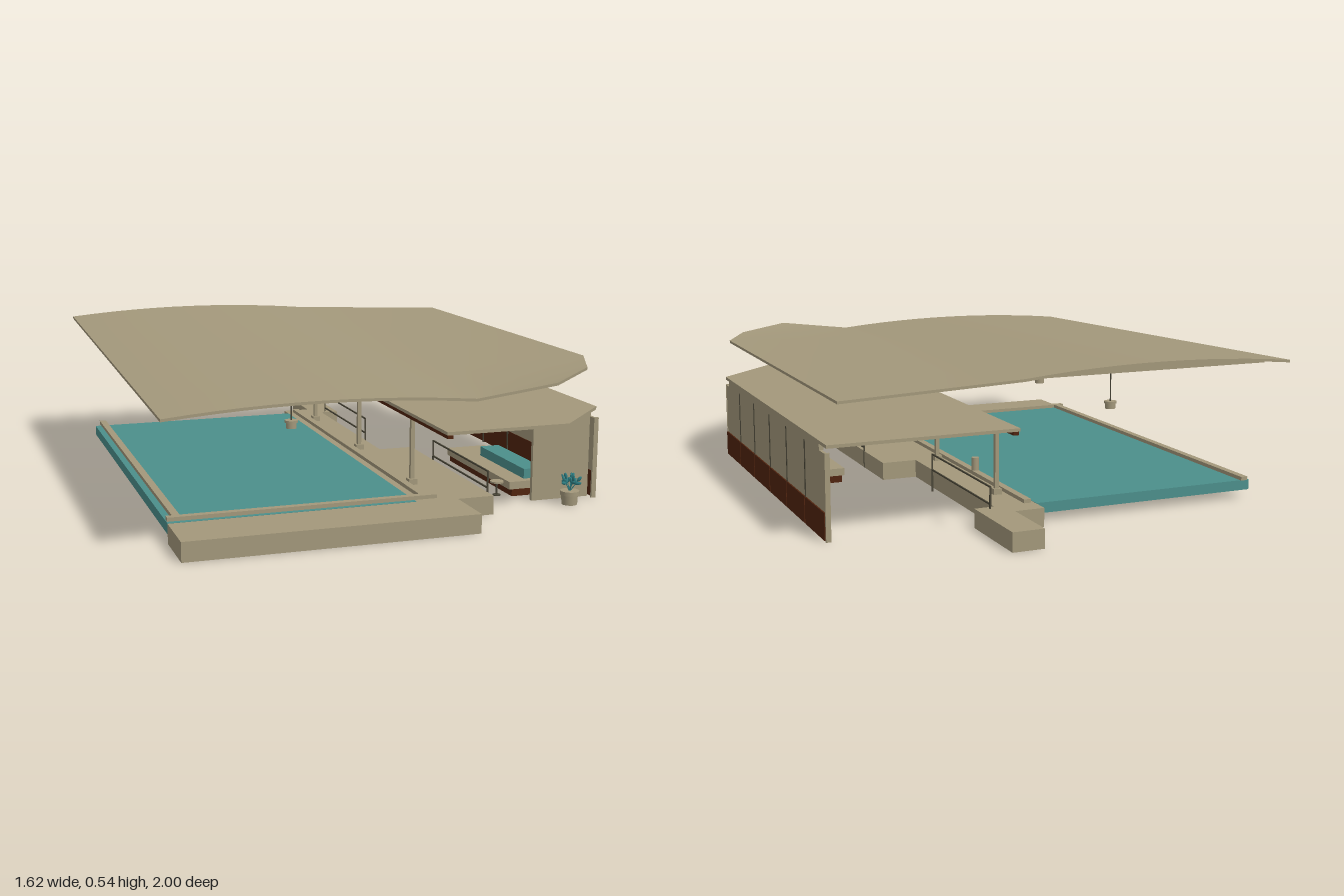
import * as THREE from 'three';

const mat = (name, color, side = THREE.FrontSide) => {
  const m = new THREE.MeshStandardMaterial({ color, side });
  m.name = name;
  return m;
};

export function createModel() {
  const tan = mat('sandstone', 0xa3987b);
  const red = mat('red brown timber', 0x50240f);
  const water = mat('pool water', 0x4c8f8b);
  const leaf = mat('leaf', 0x2f8085, THREE.DoubleSide);
  const dark = mat('dark metal', 0x4a4638);

  const model = new THREE.Group();
  model.name = 'poolPavilion';

  const add = (name, geo, m, x = 0, y = 0, z = 0, parent = model) => {
    const mesh = new THREE.Mesh(geo, m);
    mesh.name = name;
    mesh.position.set(x, y, z);
    parent.add(mesh);
    return mesh;
  };
  // box given by its limits on each axis
  const box = (name, m, x0, x1, y0, y1, z0, z1) =>
    add(name, new THREE.BoxGeometry(x1 - x0, y1 - y0, z1 - z0), m,
      (x0 + x1) / 2, (y0 + y1) / 2, (z0 + z1) / 2);
  const cyl = (r0, r1, h, n = 12) => new THREE.CylinderGeometry(r0, r1, h, n);

  // --- main roof: arched over the pool, ruled out to a level outer edge
  const TH = 0.009;
  const archEdge = z => 0.449 + 0.061 * (1 - z) / 1.85;
  const arch = x => 0.025 * (1 - ((x + 0.31) / 0.5) ** 2);
  const outerX = z => {
    if (z <= 0.55) return 0.805;
    if (z <= 0.77) return 0.805 - 0.105 * (z - 0.55) / 0.22;
    return 0.7 - (z - 0.77);
  };
  const rows = [-0.85, -0.4, 0.05, 0.55, 0.77, 1];
  const NA = 12, NB = 4;
  const roofGeo = new THREE.BoxGeometry(1, 1, 1, NA + NB, 1, rows.length - 1);
  const p = roofGeo.attributes.position;
  for (let i = 0; i < p.count; i++) {
    const col = Math.round((p.getX(i) + 0.5) * (NA + NB));
    const z = rows[Math.round((p.getZ(i) + 0.5) * (rows.length - 1))];
    let x, y;
    if (col <= NA) {
      x = -0.81 + col / NA;
      y = archEdge(z) + arch(x);
    } else {
      const s = (col - NA) / NB;
      x = 0.19 + (outerX(z) - 0.19) * s;
      y = THREE.MathUtils.lerp(archEdge(z), 0.484, s);
    }
    p.setXYZ(i, x, y - (p.getY(i) < 0 ? TH : 0), z);
  }
  roofGeo.computeVertexNormals();
  add('mainRoof', roofGeo, tan);

  // bow shaped ribs under the arch
  for (const z of [0.79, 0.29, -0.21, -0.71]) {
    const e = archEdge(z) - TH;
    const rib = new THREE.Shape();
    rib.moveTo(-0.8, e - 0.014);
    rib.lineTo(0.185, e - 0.014);
    for (let i = 10; i >= 0; i--) {
      const x = -0.8 + 0.0985 * i;
      rib.lineTo(x, e + arch(x) + 0.002);
    }
    add('roofRib', new THREE.ExtrudeGeometry(rib, { depth: 0.012, bevelEnabled: false }), tan, 0, 0, z - 0.006);
  }

  // --- pendant lamps
  for (const z of [0.65, 0.08, -0.495]) {
    const lamp = new THREE.Group();
    lamp.name = 'pendantLamp';
    lamp.position.set(-0.31, 0, z);
    model.add(lamp);
    const top = archEdge(z) + arch(-0.31) - TH;
    add('lampCord', cyl(0.002, 0.002, top - 0.34, 6), dark, 0, (top + 0.34) / 2, 0, lamp);
    add('lampCap', cyl(0.022, 0.022, 0.008), tan, 0, 0.339, 0, lamp);
    add('lampShade', cyl(0.018, 0.018, 0.02), tan, 0, 0.326, 0, lamp);
  }

  // --- lower flat roof with a cut corner
  const flat = new THREE.Shape([[0.14, -0.71], [0.8, -0.71], [0.8, 0.665], [0.575, 0.89], [0.14, 0.89]]
    .map(([x, z]) => new THREE.Vector2(x, z)));
  const flatGeo = new THREE.ExtrudeGeometry(flat, { depth: 0.011, bevelEnabled: false });
  flatGeo.rotateX(Math.PI / 2);
  add('lowerRoof', flatGeo, tan, 0, 0.322, 0);
  box('edgeBeam', red, 0.143, 0.163, 0.298, 0.311, -0.705, 0.885);
  box('innerBeam', tan, 0.55, 0.565, 0.288, 0.311, -0.54, 0.64);

  // --- columns
  for (const z of [-0.55, 0, 0.55]) {
    box('columnBase', tan, 0.14, 0.17, 0.065, 0.085, z - 0.015, z + 0.015);
    box('column', tan, 0.148, 0.162, 0.085, 0.3, z - 0.007, z + 0.007);
  }

  // --- long side wall: six bays with a timber dado
  const Z0 = -0.67, BAY = 1.36 / 6;
  for (let i = 0; i < 6; i++) {
    const a = Z0 + i * BAY + 0.004, b = a + BAY - 0.008;
    box('wallPanel', tan, 0.783, 0.793, 0.095, 0.285, a, b);
    box('wallDado', red, 0.781, 0.798, 0.004, 0.095, a, b);
  }
  for (let i = 0; i <= 6; i++) {
    const z = Z0 + i * BAY;
    box('wallMullion', i % 6 ? dark : tan, 0.778, 0.795, 0, 0.288, z - 0.004, z + 0.004);
  }
  box('wallTopRail', tan, 0.778, 0.794, 0.285, 0.311, Z0 + 0.06, 0.64);
  box('endWall', tan, 0.56, 0.777, 0, 0.312, 0.65, 0.665);

  // --- pool and terrace
  box('poolBasin', water, -0.75, 0.085, 0.03, 0.066, -0.72, 0.77);
  box('frontDeck', tan, -0.75, 0.23, 0, 0.065, 0.77, 0.97);
  box('sideDeck', tan, 0.085, 0.23, 0, 0.065, -0.78, 0.77);
  box('sideStep', tan, 0.23, 0.36, 0, 0.065, 0.03, 0.78);
  box('backPath', tan, 0.19, 0.3, 0, 0.065, -1, -0.7);
  box('frontRim', tan, -0.75, 0.16, 0.07, 0.083, 0.74, 0.765);
  box('outerRim', tan, -0.73, -0.705, 0.07, 0.083, -0.74, 0.74);
  box('innerRim', tan, 0.105, 0.13, 0.07, 0.083, -0.72, 0.74);

  // --- guard rails
  const rail = (x, z0, z1) => {
    const r = 0.0025;
    for (const z of [z0, z1]) box('railPost', dark, x - r, x + r, 0, 0.14, z - r, z + r);
    for (const y of [0.08, 0.138]) box('railBar', dark, x - r, x + r, y - r, y + r, z0, z1);
  };
  rail(0.252, -0.72, -0.2);
  rail(0.36, 0.25, 0.73);

  // --- lounge bench, cushion and side table
  box('benchBase', red, 0.515, 0.66, 0.003, 0.028, 0.05, 0.6);
  box('benchSeat', tan, 0.505, 0.66, 0.028, 0.055, 0.05, 0.6);
  box('benchCushion', water, 0.575, 0.65, 0.055, 0.09, 0.2, 0.57);
  add('tableTop', cyl(0.024, 0.024, 0.006, 16), tan, 0.475, 0.05, 0.56);
  add('tableLeg', cyl(0.004, 0.004, 0.046, 8), dark, 0.475, 0.024, 0.56);
  add('tableFoot', cyl(0.014, 0.014, 0.004, 16), dark, 0.475, 0.002, 0.56);

  // --- hanging lantern
  add('lantern', cyl(0.012, 0.012, 0.042), tan, 0.312, 0.225, -0.735);

  // --- potted plant
  const plant = new THREE.Group();
  plant.name = 'pottedPlant';
  plant.position.set(0.667, 0, 0.74);
  model.add(plant);
  add('pot', cyl(0.029, 0.027, 0.036, 16), tan, 0, 0.018, 0, plant);
  add('potRim', cyl(0.033, 0.033, 0.014, 16), tan, 0, 0.041, 0, plant);
  for (let i = 0; i < 7; i++) {
    const a = i * 2.4, lean = 0.2 + 0.08 * i;
    const stem = new THREE.Group();
    stem.name = 'stem';
    stem.position.y = 0.045;
    stem.rotation.set(0, a, -lean);
    stem.rotation.order = 'YXZ';
    plant.add(stem);
    add('stalk', cyl(0.0015, 0.002, 0.055, 5), leaf, 0, 0.0275, 0, stem);
    for (const s of [-1, 0, 1]) {
      const blade = add('leaf', new THREE.SphereGeometry(1, 6, 4), leaf, s * 0.006, 0.055 - Math.abs(s) * 0.015, 0, stem);
      blade.scale.set(0.006, 0.012, 0.004);
      blade.rotation.z = -s * 0.8;
    }
  }
  return model;
}
